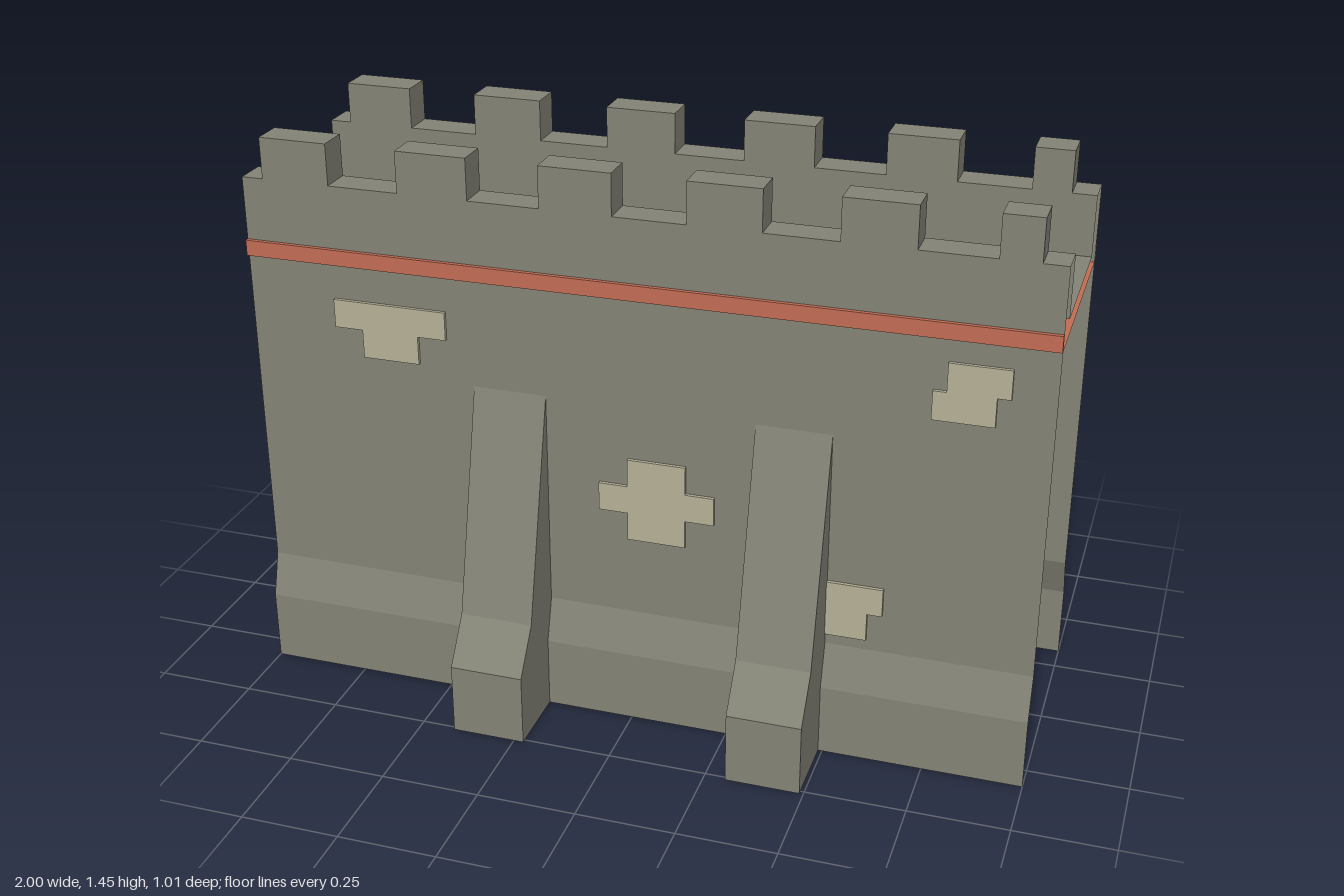
import * as THREE from 'three';

const mat = (name, color) => {
  const m = new THREE.MeshStandardMaterial({ color, side: THREE.DoubleSide });
  m.name = name;
  return m;
};

// Open strip: a [z, y] profile swept along x from -1 to 1, with flat faces
function sweep(profile) {
  const pos = [];
  for (let i = 0; i < profile.length - 1; i++) {
    const [z0, y0] = profile[i], [z1, y1] = profile[i + 1];
    pos.push(-1, y0, z0, 1, y0, z0, 1, y1, z1, -1, y0, z0, 1, y1, z1, -1, y1, z1);
  }
  const g = new THREE.BufferGeometry();
  g.setAttribute('position', new THREE.Float32BufferAttribute(pos, 3));
  g.computeVertexNormals();
  return g;
}

export function createModel() {
  const stone = mat('stone', 0x828275);
  const brick = mat('paleBrick', 0xb4af95);
  const trim = mat('redTrim', 0xc06b53);
  const model = new THREE.Group();
  model.name = 'castleWall';

  const add = (name, geometry, material, parent = model) => {
    const mesh = new THREE.Mesh(geometry, material);
    mesh.name = name;
    parent.add(mesh);
    return mesh;
  };
  const group = (name) => {
    const g = new THREE.Group();
    g.name = name;
    model.add(g);
    return g;
  };

  // Wall shell: flared front, parapets, walkway and flared rear, open at both ends
  add('wallShell', sweep([
    [0.32, 0], [0.32, 0.185], [0.287, 0.295], [0.287, 1.34], [0.205, 1.34], [0.205, 1.185],
    [-0.2, 1.185], [-0.2, 1.34], [-0.287, 1.34], [-0.287, 0.295], [-0.327, 0.185], [-0.327, 0],
  ]), stone);

  // Red string course running under the walkway
  add('trimBand', sweep([
    [-0.287, 1.18], [-0.305, 1.18], [-0.305, 1.14], [0.298, 1.14], [0.298, 1.18], [0.287, 1.18],
  ]), trim);

  // Merlons on both parapets
  const merlons = group('merlons');
  const spans = [[-0.945, -0.77], [-0.59, -0.41], [-0.23, -0.05], [0.13, 0.31], [0.49, 0.665], [0.845, 0.94]];
  for (const [z0, z1] of [[0.205, 0.287], [-0.287, -0.2]]) {
    for (const [x0, x1] of spans) {
      const m = add('merlon', new THREE.BoxGeometry(x1 - x0, 0.105, z1 - z0), stone, merlons);
      m.position.set((x0 + x1) / 2, 1.3925, (z0 + z1) / 2);
    }
  }

  // Sloping buttresses; profile points are [z, y]
  const buttresses = group('buttresses');
  const profiles = {
    frontButtress: [[0.07, 0], [0.51, 0], [0.51, 0.185], [0.43, 0.295], [0.205, 1.185]],
    backButtress: [[-0.07, 0], [-0.505, 0], [-0.505, 0.06], [-0.44, 0.22], [-0.2, 1.185]],
  };
  for (const [name, pts] of Object.entries(profiles)) {
    const shape = new THREE.Shape(pts.map(([z, y]) => new THREE.Vector2(-z, y)));
    for (const [x0, x1] of [[-0.412, -0.225], [0.303, 0.49]]) {
      const g = new THREE.ExtrudeGeometry(shape, { depth: x1 - x0, bevelEnabled: false });
      g.rotateY(Math.PI / 2);
      add(name, g, stone, buttresses).position.x = x0;
    }
  }

  // Exposed bricks: hollow behind, listed as [left x, bottom y]
  const W = 0.147, H = 0.073, D = 0.026;
  const brickGeometry = new THREE.BoxGeometry(W, H, D);
  brickGeometry.setIndex(Array.from(brickGeometry.index.array).slice(0, 30));
  const layouts = {
    frontBricks: [
      [-0.773, 0.977], [-0.626, 0.977], [-0.7, 0.904],
      [0.75, 1.01], [0.718, 0.937],
      [-0.015, 0.65], [-0.089, 0.577], [0.058, 0.577], [-0.015, 0.504],
      [0.482, 0.398], [0.445, 0.325],
    ],
    backBricks: [
      [0.788, 0.937], [0.715, 0.864], [0.788, 0.791],
      [-0.035, 0.982], [-0.107, 0.909], [0.04, 0.909], [-0.035, 0.836],
      [-0.744, 0.672], [-0.707, 0.599],
      [0.24, 0.408], [0.387, 0.408], [0.37, 0.335],
    ],
  };
  for (const [name, list] of Object.entries(layouts)) {
    const patch = group(name);
    const back = name === 'backBricks';
    for (const [x, y] of list) {
      const b = add('brick', brickGeometry, brick, patch);
      b.position.set(x + W / 2, y + H / 2, back ? -0.28 : 0.283);
      if (back) b.rotation.y = Math.PI;
    }
  }
  return model;
}
